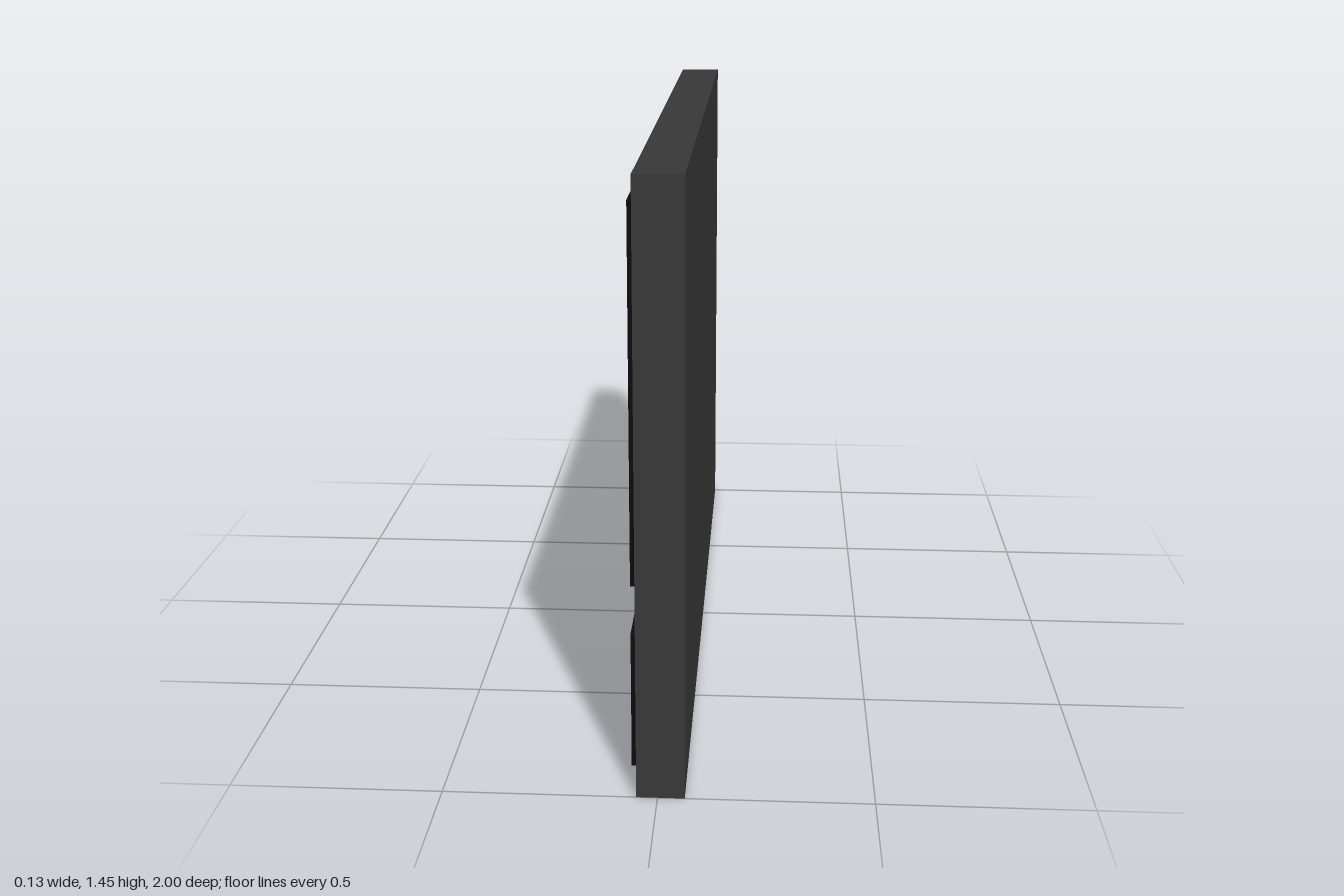
import * as THREE from 'three';

const HEIGHT = 1.445, LENGTH = 2, FACE = -0.049, OUTER = 0.063, BAR = 0.032;

// Rectangular moulding ring standing on the -x face of the panel
function mouldingFrame(z0, z1, y0, y1, material) {
  const rect = (path, inset) => {
    path.moveTo(z0 + inset, y0 + inset);
    path.lineTo(z1 - inset, y0 + inset);
    path.lineTo(z1 - inset, y1 - inset);
    path.lineTo(z0 + inset, y1 - inset);
    path.closePath();
    return path;
  };
  const shape = rect(new THREE.Shape(), 0);
  shape.holes.push(rect(new THREE.Path(), BAR));
  const geometry = new THREE.ExtrudeGeometry(shape, { depth: OUTER + FACE, bevelEnabled: false });
  geometry.rotateY(-Math.PI / 2); // shape x becomes z, depth becomes -x
  geometry.translate(FACE, 0, 0);
  return new THREE.Mesh(geometry, material);
}

export function createModel() {
  const group = new THREE.Group();
  const panelMaterial = new THREE.MeshStandardMaterial({ color: 0x383838 });
  const frameMaterial = new THREE.MeshStandardMaterial({ color: 0x0c0c0c });

  // Wall slab
  const panel = new THREE.Mesh(new THREE.BoxGeometry(OUTER - FACE, HEIGHT, LENGTH), panelMaterial);
  panel.position.set((OUTER + FACE) / 2, HEIGHT / 2, 0);
  panel.name = 'wallPanel';
  group.add(panel);

  // Large centre frame, then a tall and a low frame at each end
  const frames = [
    ['centreFrame', -0.458, 0.458, 0.505, 1.382],
    ['frontTallFrame', 0.555, 0.95, 0.505, 1.382],
    ['frontLowFrame', 0.555, 0.95, 0.053, 0.387],
    ['backTallFrame', -0.95, -0.555, 0.505, 1.382],
    ['backLowFrame', -0.95, -0.555, 0.053, 0.387],
  ];
  for (const [name, z0, z1, y0, y1] of frames) {
    const frame = mouldingFrame(z0, z1, y0, y1, frameMaterial);
    frame.name = name;
    group.add(frame);
  }
  return group;
}
